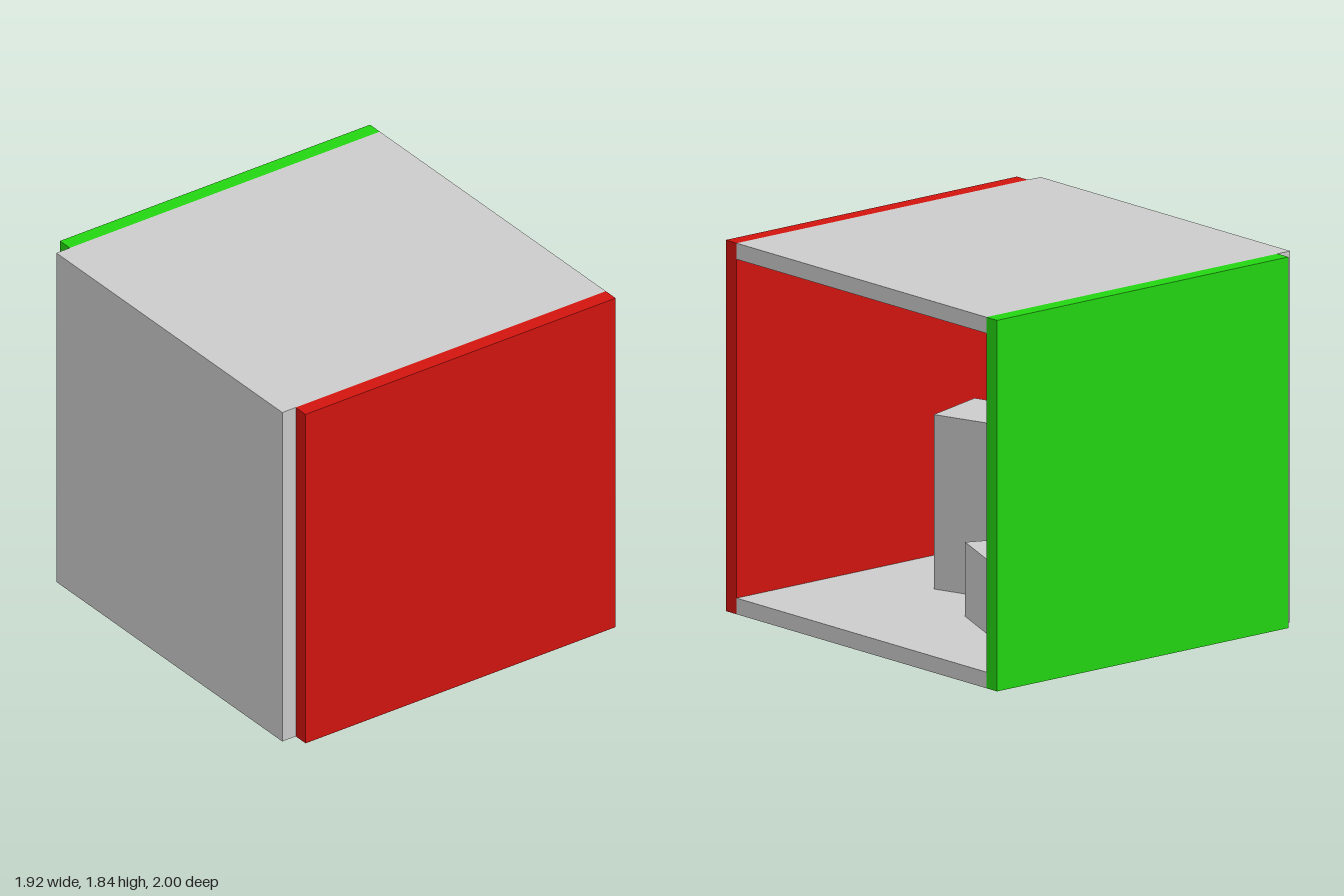
import * as THREE from 'three';

export function createModel() {
  const model = new THREE.Group();
  const grey = new THREE.MeshStandardMaterial({ color: 0xcccccc });
  const red = new THREE.MeshStandardMaterial({ color: 0xd2140f });
  const green = new THREE.MeshStandardMaterial({ color: 0x24d512 });

  // Box placed by its centre, with an optional turn about y
  function addBox(name, material, size, centre, turn = 0) {
    const mesh = new THREE.Mesh(new THREE.BoxGeometry(...size), material);
    mesh.name = name;
    mesh.position.set(...centre);
    mesh.rotation.y = turn;
    model.add(mesh);
  }

  const height = 1.84, inner = 1.84, wall = 0.08;

  // Room shell, open towards +x
  addBox('floor', grey, [1.84, wall, inner], [0.04, wall / 2, 0]);
  addBox('ceiling', grey, [1.84, wall, inner], [0.04, height - wall / 2, 0]);
  addBox('endWall', grey, [wall, height, inner], [-0.92, height / 2, 0]);
  addBox('redWall', red, [1.84, height, wall], [0.04, height / 2, 0.96]);
  addBox('greenWall', green, [1.84, height, wall], [0.04, height / 2, -0.96]);

  // Turned blocks standing on the floor
  const side = 0.367;
  for (const [name, h, x, z, turn] of [
    ['tallBlock', 0.865, -0.1, 0.315, 0.3],
    ['shortBlock', 0.368, 0.254, -0.295, -0.4],
  ]) addBox(name, grey, [side, h, side], [x, wall + h / 2, z], turn);

  return model;
}
